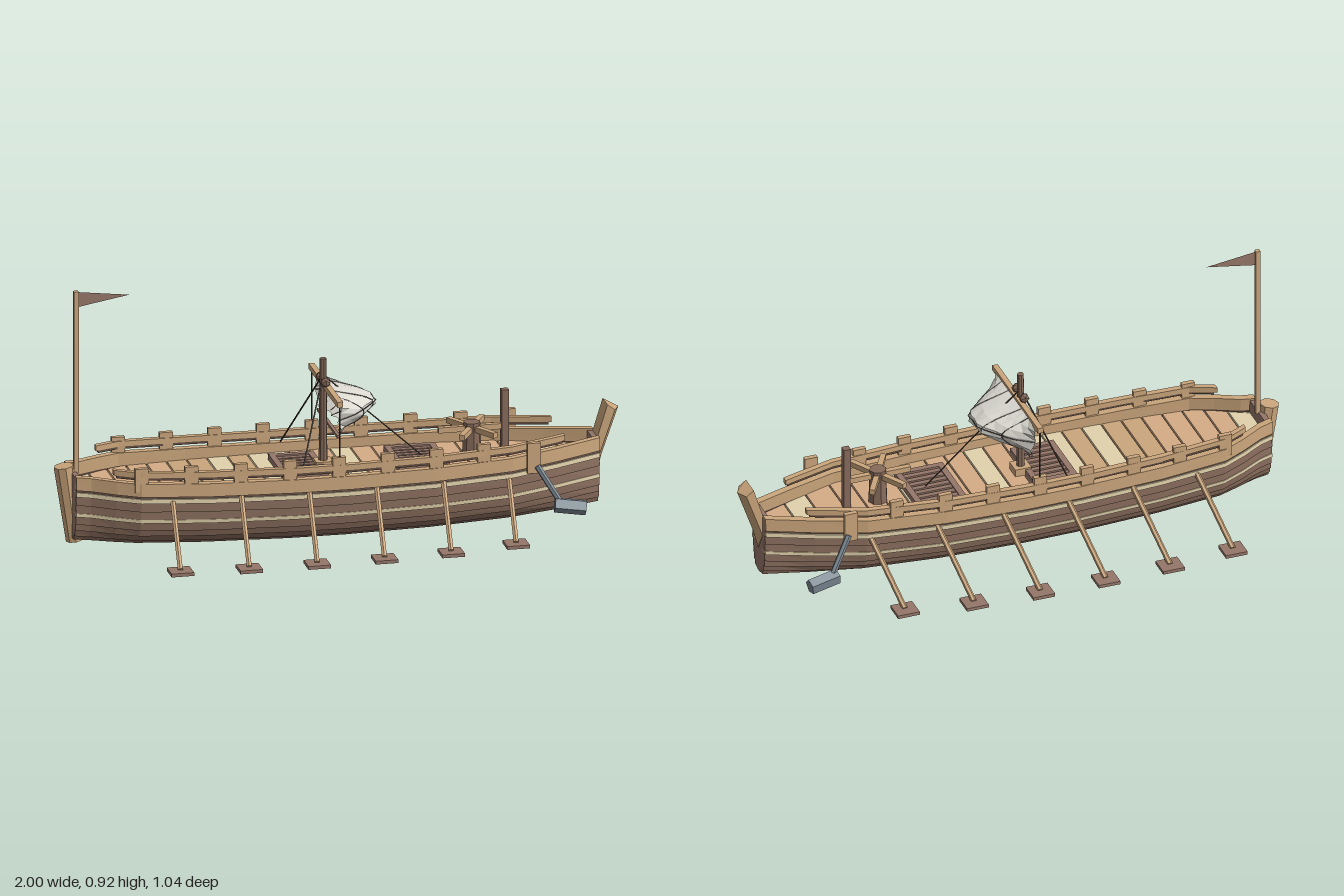
import * as THREE from 'three';

const mat = (name, color, side = THREE.FrontSide) => {
  const m = new THREE.MeshStandardMaterial({ color, side, flatShading: true });
  m.name = name;
  return m;
};
const V = (x, y, z) => new THREE.Vector3(x, y, z);

// hull half width at the rail along x
const PLAN = [[-0.95, 0.09], [-0.9, 0.105], [-0.82, 0.15], [-0.74, 0.187], [-0.5, 0.207], [-0.2, 0.216],
  [0, 0.216], [0.3, 0.206], [0.58, 0.177], [0.75, 0.122], [0.9, 0.066], [0.92, 0.058]];
// width fraction by height fraction
const SECTION = [[0, 0.04], [0.03, 0.5], [0.1, 0.66], [0.2, 0.79], [0.3, 0.86], [0.45, 0.92], [0.7, 0.97], [1, 1]];

function lookup(table, x) {
  if (x <= table[0][0]) return table[0][1];
  for (let i = 1; i < table.length; i++) {
    const [a, p] = table[i - 1], [b, q] = table[i];
    if (x <= b) return p + (q - p) * (x - a) / (b - a);
  }
  return table[table.length - 1][1];
}
const hullPoint = (x, t, out = 0) => {
  const low = 0.004 + 0.035 * x * x, top = 0.25 + 0.027 * x * x;
  return V(x, low + (top - low) * t, Math.max(0, lookup(PLAN, x) * lookup(SECTION, t) + out));
};

// joins equal rings of points, capped at both ends
function loft(rings) {
  const pos = [], n = rings[0].length;
  const tri = (...ps) => ps.forEach(p => pos.push(p.x, p.y, p.z));
  for (let i = 0; i + 1 < rings.length; i++) for (let j = 0; j < n; j++) {
    const k = (j + 1) % n, a = rings[i], b = rings[i + 1];
    tri(a[j], a[k], b[k]);
    tri(a[j], b[k], b[j]);
  }
  const s = rings[0], e = rings[rings.length - 1];
  for (let j = 1; j + 1 < n; j++) {
    tri(s[0], s[j + 1], s[j]);
    tri(e[0], e[j], e[j + 1]);
  }
  const g = new THREE.BufferGeometry();
  g.setAttribute('position', new THREE.Float32BufferAttribute(pos, 3));
  g.computeVertexNormals();
  return g;
}

export function createModel() {
  const ship = new THREE.Group();
  ship.name = 'galley';
  const tan = mat('tan wood', 0xcba67c), beige = mat('pale wood', 0xe2d2ac), brown = mat('brown wood', 0x876b5b),
    dark = mat('dark wood', 0x604b3f), deckTan = mat('deck wood', 0xd6ad87), red = mat('reddish wood', 0x96776a, THREE.DoubleSide),
    cloth = mat('sail cloth', 0xdddbd2, THREE.DoubleSide), steel = mat('grey iron', 0x7d8a94), rope = mat('rope', 0x4a3c34);

  const add = (name, geo, m, x = 0, y = 0, z = 0) => {
    const mesh = new THREE.Mesh(geo, m);
    mesh.name = name;
    mesh.position.set(x, y, z);
    ship.add(mesh);
    return mesh;
  };
  const box = (name, m, w, h, d, x, y, z) => add(name, new THREE.BoxGeometry(w, h, d), m, x, y, z);
  const rod = (name, m, a, b, r, sides = 6, r2 = r) => {
    const mesh = add(name, new THREE.CylinderGeometry(r2, r, a.distanceTo(b), sides), m);
    mesh.position.copy(a).add(b).multiplyScalar(0.5);
    mesh.quaternion.setFromUnitVectors(V(0, 1, 0), b.clone().sub(a).normalize());
    return mesh;
  };

  // one plank running along both sides of the hull
  function strake(name, m, t0, t1, outTop, outLow, thick, x0 = -0.95, x1 = 0.915) {
    const xs = [x0, ...PLAN.map(p => p[0]).filter(x => x > x0 && x < x1), x1];
    for (const s of [1, -1]) {
      const rings = xs.map(x => {
        const ring = [hullPoint(x, t1, outTop), hullPoint(x, t0, outLow), hullPoint(x, t0, outLow - thick), hullPoint(x, t1, outTop - thick)];
        if (s < 0) ring.reverse().forEach(p => { p.z *= -1; });
        return ring;
      });
      add(name, loft(rings), m);
    }
  }
  const strakes = [[0, 0.03], [0.03, 0.1], [0.1, 0.2], [0.2, 0.3], [0.3, 0.43], [0.47, 0.6], [0.6, 0.74]];
  strakes.forEach(([a, b]) => strake('hullPlank', brown, a, b + 0.01, 0, 0.007, 0.02));
  strake('lowerWale', beige, 0.425, 0.48, 0.009, 0.011, 0.03);
  strake('upperWale', beige, 0.735, 0.8, 0.009, 0.011, 0.03);
  strake('wingPlank', dark, 0.8, 0.84, 0.002, 0.004, 0.02);
  strake('bulwark', tan, 0.835, 1.03, 0.006, 0.01, 0.028);
  strake('upperRail', tan, 1.12, 1.2, 0.004, 0.004, 0.022, -0.83, 0.78);
  strake('railUnderside', dark, 1.08, 1.12, 0, 0, 0.014, -0.82, 0.77);

  // closed hull ends
  for (const x of [-0.94, 0.905]) {
    const ring = d => {
      const half = [1, 0.7, 0.45, 0.2, 0.03, 0].map(t => hullPoint(x + d, t));
      return [...half, ...half.map(p => V(p.x, p.y, -p.z)).reverse()];
    };
    add('hullEnd', loft([ring(-0.01), ring(0.01)]), red);
  }

  // stem post with a pointed front, and stern post
  const stemRing = (xb, xf, yb, yf, h) => [V(xf, yf, 0), V(xf - 0.02, yf, -h), V(xb, yb, -h), V(xb, yb, h), V(xf - 0.02, yf, h)];
  add('stemPost', loft([stemRing(0.88, 0.918, 0.13, 0.13, 0.003), stemRing(0.89, 0.936, 0.2, 0.2, 0.038),
    stemRing(0.948, 0.995, 0.388, 0.368, 0.038)]), tan);
  const stern = add('sternPost', new THREE.CylinderGeometry(0.035, 0.03, 0.275, 8), tan, -0.955, 0.16, 0);
  stern.rotation.z = 0.14;

  // deck boards laid crosswise over a dark underdeck
  const board = (name, m, x0, x1, y0, y1) => {
    const ring = x => {
      const z = lookup(PLAN, x) - 0.018;
      return [V(x, y1, z), V(x, y0, z), V(x, y0, -z), V(x, y1, -z)];
    };
    add(name, loft([ring(x0), ring(x1)]), m);
  };
  const edges = [];
  for (let i = 0; i <= 21; i++) edges.push(-0.93 + i * 0.0729);
  edges.push(0.7, 0.79, 0.9);
  const tones = { b: beige, d: deckTan, t: tan };
  [...'bddddttbtbbddbddtbddddbdd'].slice(0, edges.length - 1).forEach((c, i) => {
    board('deckBoard', tones[c], edges[i], edges[i + 1] - 0.006, 0.214, 0.224);
    board('underdeck', rope, edges[i], edges[i + 1], 0.205, 0.214);
  });

  // rail posts
  for (let i = 0; i < 9; i++) for (const s of [1, -1]) {
    const x = -0.74 + i * 0.1737;
    box('railPost', tan, 0.047, i === 8 ? 0.11 : 0.085, 0.018, x, i === 8 ? 0.268 : 0.285, s * (i === 8 ? 0.195 : lookup(PLAN, x) - 0.006));
  }

  // oars with flat blades
  [0.457, 0.477, 0.482, 0.477, 0.462, 0.422].forEach((z, i) => {
    const x = -0.665 + i * 0.24;
    for (const s of [1, -1]) {
      rod('oarShaft', tan, V(x + 0.037, 0.215, s * (z - 0.285)), V(x, 0.04, s * z), 0.01);
      box('oarBlade', red, 0.08, 0.012, 0.076, x, 0.035, s * (z + 0.002));
    }
  });

  // deck gratings
  for (const [x, w] of [[-0.14, 0.16], [0.28, 0.18]]) {
    for (const s of [1, -1]) {
      box('gratingFrame', red, w, 0.022, 0.022, x, 0.234, s * 0.109);
      box('gratingFrame', red, 0.022, 0.022, 0.24, x + s * (w / 2 - 0.011), 0.234, 0);
    }
    for (let i = -3; i <= 3; i++) box('gratingSlat', red, w, 0.014, 0.019, x, 0.234, i * 0.028);
  }

  // mast, yards and blocks
  const mx = -0.053;
  rod('mast', brown, V(mx, 0.2, 0), V(mx, 0.62, 0), 0.016, 8, 0.012);
  box('mastStep', tan, 0.06, 0.03, 0.06, mx, 0.236, 0);
  box('yard', tan, 0.02, 0.02, 0.445, mx + 0.01, 0.52, 0);
  box('lowerYard', red, 0.012, 0.01, 0.31, mx + 0.02, 0.382, 0);
  for (const s of [1, -1]) {
    add('pulleyBlock', new THREE.IcosahedronGeometry(0.019, 0), brown, mx, 0.542, s * 0.036);
    rod('yardRope', rope, V(mx + 0.01, 0.515, s * 0.216), V(mx + 0.01, 0.27, s * 0.214), 0.003, 5);
    rod('shroud', rope, V(mx, 0.56, 0), V(-0.165, 0.27, s * 0.17), 0.003, 5);
  }
  rod('forestay', rope, V(mx, 0.56, 0), V(0.31, 0.23, 0), 0.0025, 5);

  // billowing, creased sail with thin seams
  const sailPoint = (u, v) => {
    const z = (u * 2 - 1) * (0.2 - 0.035 * v), k = 1 - (u * 2 - 1) ** 2;
    return V(-0.035 + 0.165 * k * Math.sin(Math.PI * Math.pow(v, 1.2) * 0.93) + 0.01 * Math.sin(u * 25 + v * 9) * v,
      0.52 - 0.13 * v + 0.02 * k * Math.sin(Math.PI * v), z);
  };
  const sail = new THREE.PlaneGeometry(1, 1, 12, 6), sp = sail.attributes.position;
  for (let i = 0; i < sp.count; i++) {
    const p = sailPoint(sp.getX(i) + 0.5, 0.5 - sp.getY(i));
    sp.setXYZ(i, p.x, p.y, p.z);
  }
  sail.computeVertexNormals();
  add('sail', sail, cloth);
  const seam = f => {
    const pts = [];
    for (let i = 0; i <= 10; i++) pts.push(f(i / 10));
    add('sailSeam', new THREE.TubeGeometry(new THREE.CatmullRomCurve3(pts), 14, 0.0018, 4), rope);
  };
  for (const u of [0.18, 0.34, 0.66, 0.82]) seam(t => sailPoint(u, t));
  seam(t => sailPoint(t, 0.55));

  // capstan with six bars, and the bitt post
  rod('capstanDrum', brown, V(0.475, 0.22, 0), V(0.475, 0.35, 0), 0.035, 8, 0.03);
  for (let i = 0; i < 6; i++) {
    const a = i * Math.PI / 3, bar = box('capstanBar', tan, 0.1, 0.02, 0.02, 0.475 + 0.07 * Math.cos(a), 0.328, -0.07 * Math.sin(a));
    bar.rotation.y = a;
  }
  box('bittPost', brown, 0.026, 0.25, 0.026, 0.592, 0.335, 0);

  // anchors slung at the bow
  for (const s of [1, -1]) {
    rod('anchorShank', steel, V(0.66, 0.24, s * 0.205), V(0.74, 0.105, s * 0.243), 0.011, 6);
    rod('anchorHead', steel, V(0.715, 0.106, s * 0.237), V(0.822, 0.093, s * 0.253), 0.028, 5);
  }

  // flagstaff and pennant
  box('flagstaff', tan, 0.017, 0.66, 0.017, -0.93, 0.598, 0);
  const flag = new THREE.Shape([[-0.925, 0.925], [-0.925, 0.87], [-0.84, 0.885], [-0.74, 0.902]].map(p => new THREE.Vector2(...p)));
  add('pennant', new THREE.ShapeGeometry(flag), red);
  return ship;
}
